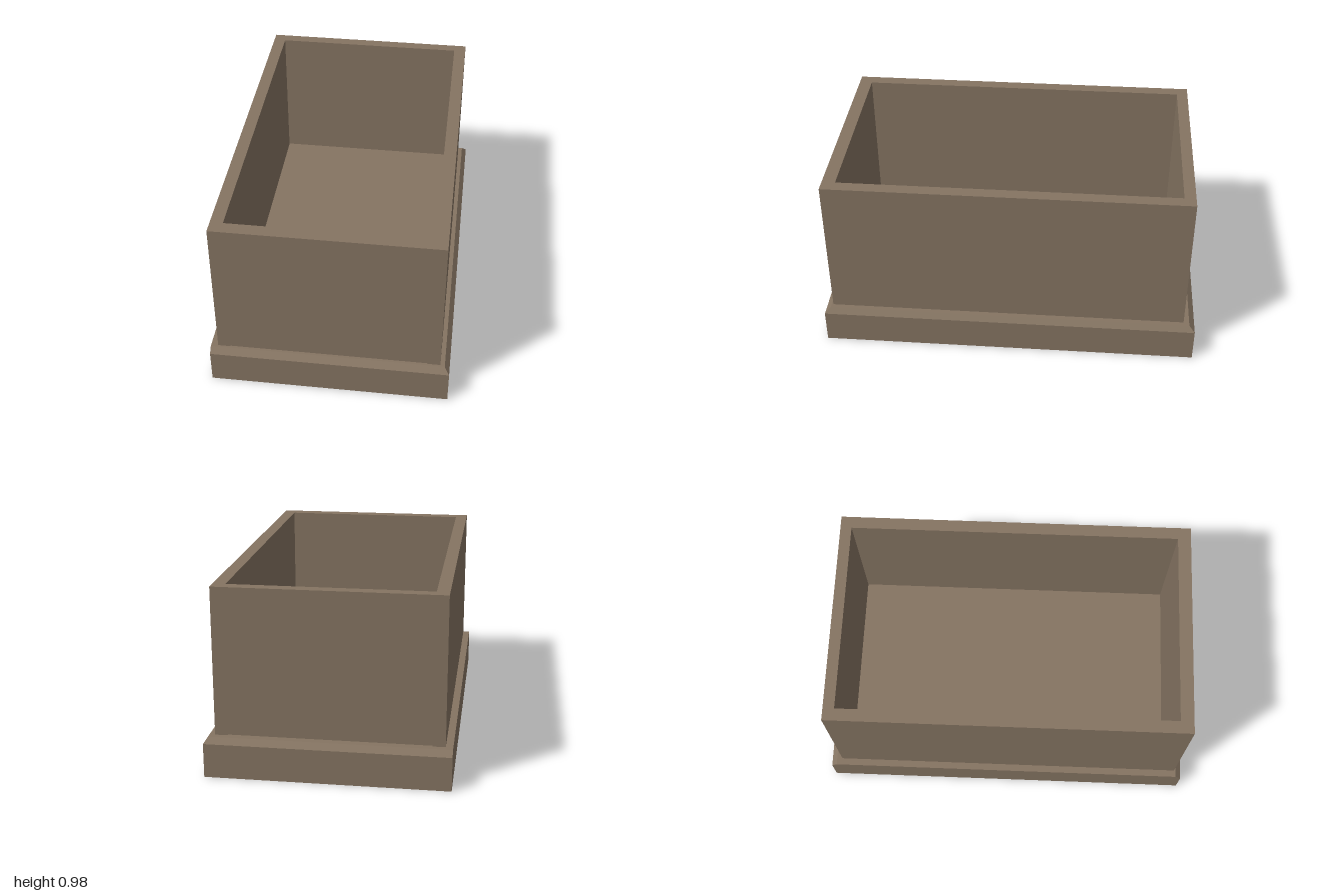
import * as THREE from 'three';

export function createModel() {
  const group = new THREE.Group();
  const stone = new THREE.MeshStandardMaterial({ color: 0x857462 });
  stone.name = 'brown stone';

  function add(name, geometry) {
    const mesh = new THREE.Mesh(geometry, stone);
    mesh.name = name;
    group.add(mesh);
  }

  // Box given by its lower and upper limits on each axis
  function block(name, [x0, x1], [y0, y1], [z0, z1]) {
    const geometry = new THREE.BoxGeometry(x1 - x0, y1 - y0, z1 - z0);
    geometry.translate((x0 + x1) / 2, (y0 + y1) / 2, (z0 + z1) / 2);
    add(name, geometry);
  }

  // Plinth: upper rim chamfered on the +x side and both ends, square on the -x side
  const plinth = new THREE.BoxGeometry(1.24, 0.207, 2, 1, 2, 1).toNonIndexed();
  const p = plinth.attributes.position;
  for (let i = 0; i < p.count; i++) {
    const level = Math.round(p.getY(i) / 0.1035); // -1 bottom, 0 chamfer start, 1 top
    p.setY(i, [0, 0.178, 0.207][level + 1]);
    if (level === 1) {
      if (p.getX(i) > 0) p.setX(i, 0.595);
      p.setZ(i, Math.sign(p.getZ(i)) * 0.97);
    }
  }
  plinth.computeVertexNormals();
  add('plinth', plinth);

  // Open trough: long side walls rest on the plinth, end walls leave a hairline gap
  const top = 0.975;
  block('rightWall', [-0.583, -0.518], [0.206, top], [-0.94, 0.96]);
  block('leftWall', [0.507, 0.572], [0.206, top], [-0.94, 0.96]);
  block('frontWall', [-0.518, 0.507], [0.211, top], [0.89, 0.96]);
  block('backWall', [-0.518, 0.507], [0.211, top], [-0.94, -0.88]);

  return group;
}
